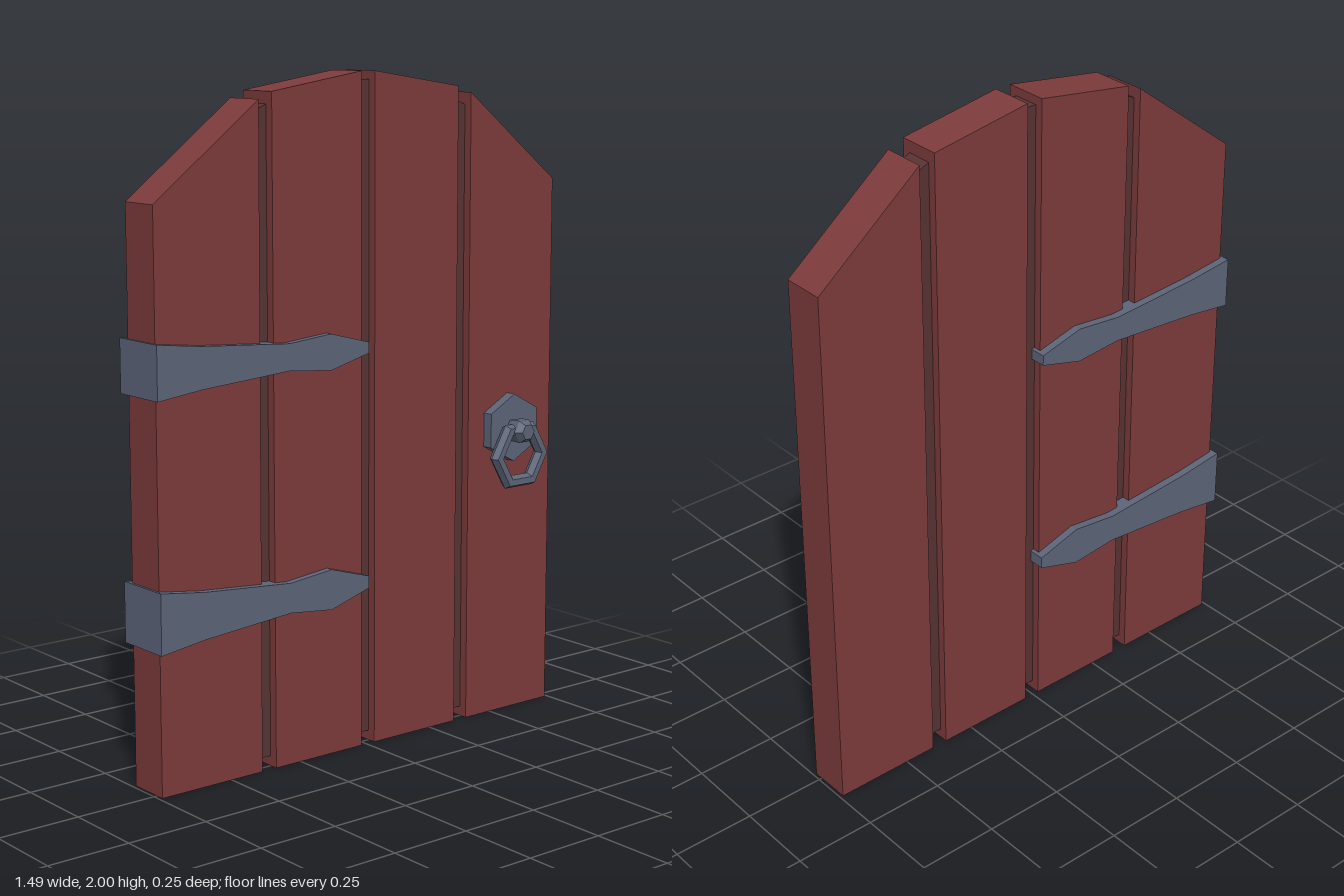
import * as THREE from 'three';

const material = (color) => new THREE.MeshStandardMaterial({ color, flatShading: true });

// Solid from an outline in x/y, filling z0 to z1
function slab(name, points, z0, z1, mat) {
  const shape = new THREE.Shape(points.map(([x, y]) => new THREE.Vector2(x, y)));
  const geometry = new THREE.ExtrudeGeometry(shape, { depth: z1 - z0, bevelEnabled: false });
  geometry.translate(0, 0, z0);
  const mesh = new THREE.Mesh(geometry, mat);
  mesh.name = name;
  return mesh;
}

export function createModel() {
  const door = new THREE.Group();
  door.name = 'door';
  const wood = material(0x7d3b3b);
  const darkWood = material(0x573333);
  const iron = material(0x5c6478);

  // Four planks with tops cut along the arch
  const planks = [
    ['outerPlankRight', -0.74, -0.39, -0.385, 1.66, 1.93],
    ['innerPlankRight', -0.34, -0.02, -0.02, 1.95, 2.0],
    ['innerPlankLeft', 0.03, 0.35, 0.35, 2.0, 1.95],
    ['outerPlankLeft', 0.4, 0.74, 0.74, 1.93, 1.66],
  ];
  for (const [name, x0, x1, x1Top, y0, y1] of planks) {
    door.add(slab(name, [[x0, 0], [x1, 0], [x1Top, y1], [x0, y0]], -0.105, 0.027, wood));
  }

  // Recessed board seen in the gaps between planks
  door.add(slab('backingBoard', [
    [-0.42, 0.03], [0.43, 0.03], [0.43, 1.88], [0.35, 1.915],
    [0.03, 1.975], [-0.02, 1.975], [-0.34, 1.915], [-0.42, 1.88],
  ], -0.08, 0, darkWood));

  // Hinge straps wrapping the hinge edge: [x, half height]
  const strapProfile = [[-0.75, 0.078], [-0.6, 0.06], [-0.3, 0.039], [-0.15, 0.053], [-0.01, 0.016]];
  for (const [name, y, scale] of [['upperHingeStrap', 1.208, 1], ['lowerHingeStrap', 0.508, 1.14]]) {
    const lower = strapProfile.map(([x, h]) => [x, y - h * scale]);
    const upper = strapProfile.map(([x, h]) => [x, y + h * scale]).reverse();
    door.add(slab(name, [...lower, ...upper], -0.13, 0.05, iron));
  }

  // Handle: hexagonal plate, knob and hanging ring
  const handle = new THREE.Group();
  handle.name = 'handle';
  handle.position.x = 0.56;
  const plate = [];
  for (let i = 0; i < 6; i++) {
    const a = Math.PI / 6 + (i * Math.PI) / 3;
    plate.push([0.11 * Math.cos(a), 0.905 + 0.105 * Math.sin(a)]);
  }
  handle.add(slab('handlePlate', plate, 0.02, 0.06, iron));

  const knobProfile = [[0.032, 0.05], [0.039, 0.075], [0.039, 0.105], [0.025, 0.125], [0, 0.125]];
  const knob = new THREE.Mesh(
    new THREE.LatheGeometry(knobProfile.map(([r, h]) => new THREE.Vector2(r, h)), 6), iron);
  knob.name = 'handleKnob';
  knob.rotation.set(Math.PI / 2, Math.PI / 6, 0);
  knob.position.y = 0.9;
  knob.rotation.order = 'XYZ';
  handle.add(knob);

  const ring = new THREE.Mesh(new THREE.TorusGeometry(0.092, 0.022, 6, 6), iron);
  ring.name = 'handleRing';
  ring.position.set(0, 0.823, 0.083);
  handle.add(ring);
  door.add(handle);

  return door;
}
